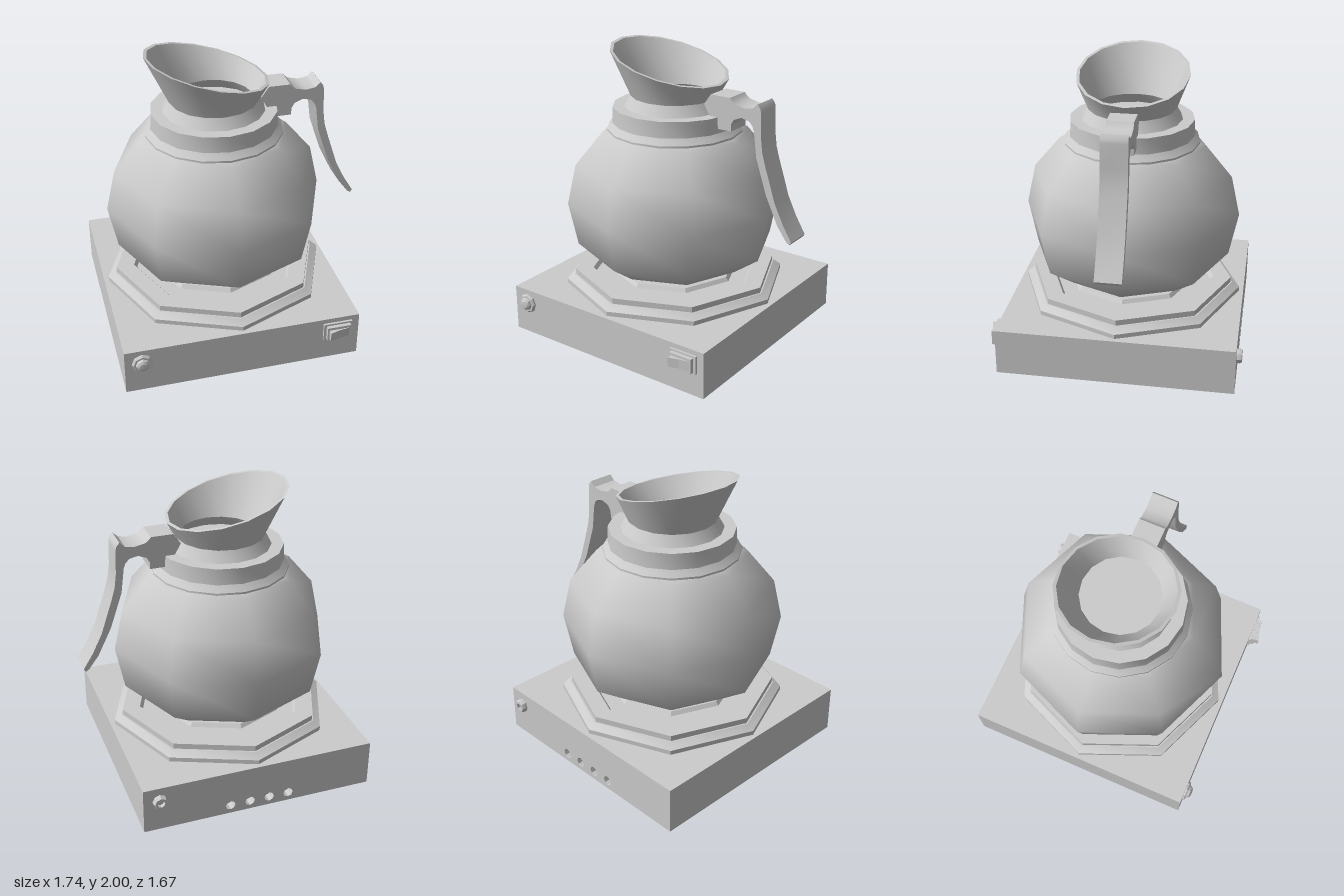
import * as THREE from 'three';
import { toCreasedNormals } from 'three/addons/utils/BufferGeometryUtils.js';

const CX = -0.09, CZ = -0.02; // centre of the base and carafe

export function createModel() {
  const model = new THREE.Group();
  const material = new THREE.MeshStandardMaterial({ color: 0xcccccc });

  function add(name, geometry, x = 0, y = 0, z = 0, parent = model) {
    const mesh = new THREE.Mesh(geometry, material);
    mesh.name = name;
    mesh.position.set(x, y, z);
    parent.add(mesh);
    return mesh;
  }
  const vectors = (points) => points.map(([x, y]) => new THREE.Vector2(x, y));
  const turned = (points, sides) => new THREE.LatheGeometry(vectors(points), sides);
  const creased = (geometry, degrees = 30) => toCreasedNormals(geometry, THREE.MathUtils.degToRad(degrees));
  const extruded = (shape, depth) => new THREE.ExtrudeGeometry(shape, { depth, bevelEnabled: false });

  // Base box, with a back panel pierced by four vents
  const base = new THREE.Group();
  base.name = 'base';
  model.add(base);
  add('baseBox', new THREE.BoxGeometry(1.56, 0.315, 1.5), CX, 0.2175, 0.01, base);
  const panel = new THREE.Shape(vectors([[-0.87, 0.06], [0.69, 0.06], [0.69, 0.375], [-0.87, 0.375]]));
  for (let i = 0; i < 4; i++) {
    const hole = new THREE.Path();
    for (let k = 0; k < 8; k++) {
      const a = -k * Math.PI / 4, x = 0.11 - i * 0.134 + 0.033 * Math.cos(a), y = 0.12 + 0.033 * Math.sin(a);
      k ? hole.lineTo(x, y) : hole.moveTo(x, y);
    }
    hole.closePath();
    panel.holes.push(hole);
  }
  add('backPanel', extruded(panel, 0.06), 0, 0, -0.8, base);

  // Rounded feet
  const footProfile = [[0, 0], [0.035, 0.008], [0.065, 0.03], [0.07, 0.045], [0.06, 0.062], [0, 0.062]];
  const foot = creased(turned(footProfile, 8), 50);
  for (const x of [-0.66, 0.48]) for (const z of [0.56, -0.59]) add('foot', foot, x, 0, z);

  // Stepped octagonal warming plate
  const plateProfile = [[0.75, 0.37], [0.75, 0.405], [0.7, 0.437], [0.69, 0.437], [0.69, 0.475],
    [0.57, 0.475], [0.55, 0.45], [0.44, 0.45], [0.42, 0.475], [0, 0.475]];
  add('warmingPlate', creased(turned(plateProfile, 8)), CX, 0, CZ);

  // Carafe body
  const carafe = new THREE.Group();
  carafe.name = 'carafe';
  carafe.position.set(CX, 0, CZ);
  model.add(carafe);
  const bodyProfile = [[0, 0.485], [0.31, 0.485], [0.485, 0.53], [0.665, 0.66], [0.725, 0.955],
    [0.665, 1.225], [0.49, 1.435], [0.43, 1.46]];
  add('glassBody', turned(bodyProfile, 8), 0, 0, 0, carafe);

  // Collar with its flared lower lip
  const collarProfile = [[0.3, 1.452], [0.45, 1.452], [0.45, 1.465], [0.415, 1.505], [0.41, 1.61], [0, 1.61]];
  add('collar', creased(turned(collarProfile, 16)), 0, 0, 0, carafe);

  // Neck and slanted pouring funnel
  const neckProfile = [[0.335, 1.605], [0.29, 1.68], [0.372, 1.885], [0.352, 1.885], [0.255, 1.68], [0.3, 1.605]];
  const neck = turned(neckProfile, 16);
  const p = neck.attributes.position;
  for (let i = 0; i < p.count; i++) {
    if (p.getY(i) < 1.8) continue;
    const x = p.getX(i) * 1.07 - 0.0425;
    p.setX(i, x);
    p.setY(i, 1.884 - 0.264 * x);
  }
  add('neckAndSpout', creased(neck), 0, 0, 0, carafe);

  // Handle: one side outline, extruded across its width
  const handleOutline = [[0.2, 1.68], [0.25, 1.75], [0.393, 1.75], [0.405, 1.735], [0.43, 1.715], [0.5, 1.7],
    [0.56, 1.71], [0.594, 1.742], [0.615, 1.715], [0.62, 1.69], [0.625, 1.53], [0.637, 1.44], [0.66, 1.36],
    [0.736, 1.13], [0.8, 1.0], [0.865, 0.895], [0.852, 0.875], [0.83, 0.89], [0.763, 0.98], [0.673, 1.165],
    [0.594, 1.4], [0.573, 1.565], [0.56, 1.6], [0.535, 1.625], [0.48, 1.637], [0.425, 1.615], [0.404, 1.58],
    [0.404, 1.535], [0.3, 1.535], [0.3, 1.61], [0.24, 1.61]];
  const handle = extruded(new THREE.Shape(vectors(handleOutline)), 0.172);
  add('handle', creased(handle), 0, 0, CZ - 0.086);

  // Control knob on the front
  const knobProfile = [[0.067, 0], [0.067, 0.015], [0.058, 0.025], [0.045, 0.025], [0.04, 0.04], [0.025, 0.05], [0, 0.052]];
  add('knob', creased(turned(knobProfile, 8)), -0.757, 0.28, 0.755).rotation.x = Math.PI / 2;

  // Rocker switch on the front
  const rocker = new THREE.Group();
  rocker.name = 'rockerSwitch';
  rocker.position.set(0.543, 0.28, 0.76);
  model.add(rocker);
  add('switchPlate', new THREE.BoxGeometry(0.195, 0.125, 0.03), 0, 0, 0, rocker);
  add('switchFrame', new THREE.BoxGeometry(0.16, 0.1, 0.06), 0, 0, 0.01, rocker);
  const rockerShape = new THREE.Shape(vectors([[-0.068, 0], [0.068, 0], [0.068, -0.042], [0, -0.052], [-0.068, -0.072]]));
  add('switchRocker', extruded(rockerShape, 0.064), 0, 0.032, 0, rocker).rotation.x = Math.PI / 2;
  rocker.children[2].scale.y = -1;
  rocker.children[2].geometry = mirrorY(rockerShape);
  rocker.children[2].scale.y = 1;

  // Cable socket on the back
  const socketProfile = [[0.047, 0], [0.047, 0.022], [0.04, 0.036], [0.025, 0.036], [0.025, 0.01], [0, 0.01]];
  add('cableSocket', creased(turned(socketProfile, 8)), 0.583, 0.28, -0.8).rotation.x = -Math.PI / 2;

  // Rocker outline turned to point forward
  function mirrorY(shape) {
    const points = shape.getPoints().map((v) => new THREE.Vector2(v.x, -v.y));
    return extruded(new THREE.Shape(points), 0.064);
  }
  return model;
}
